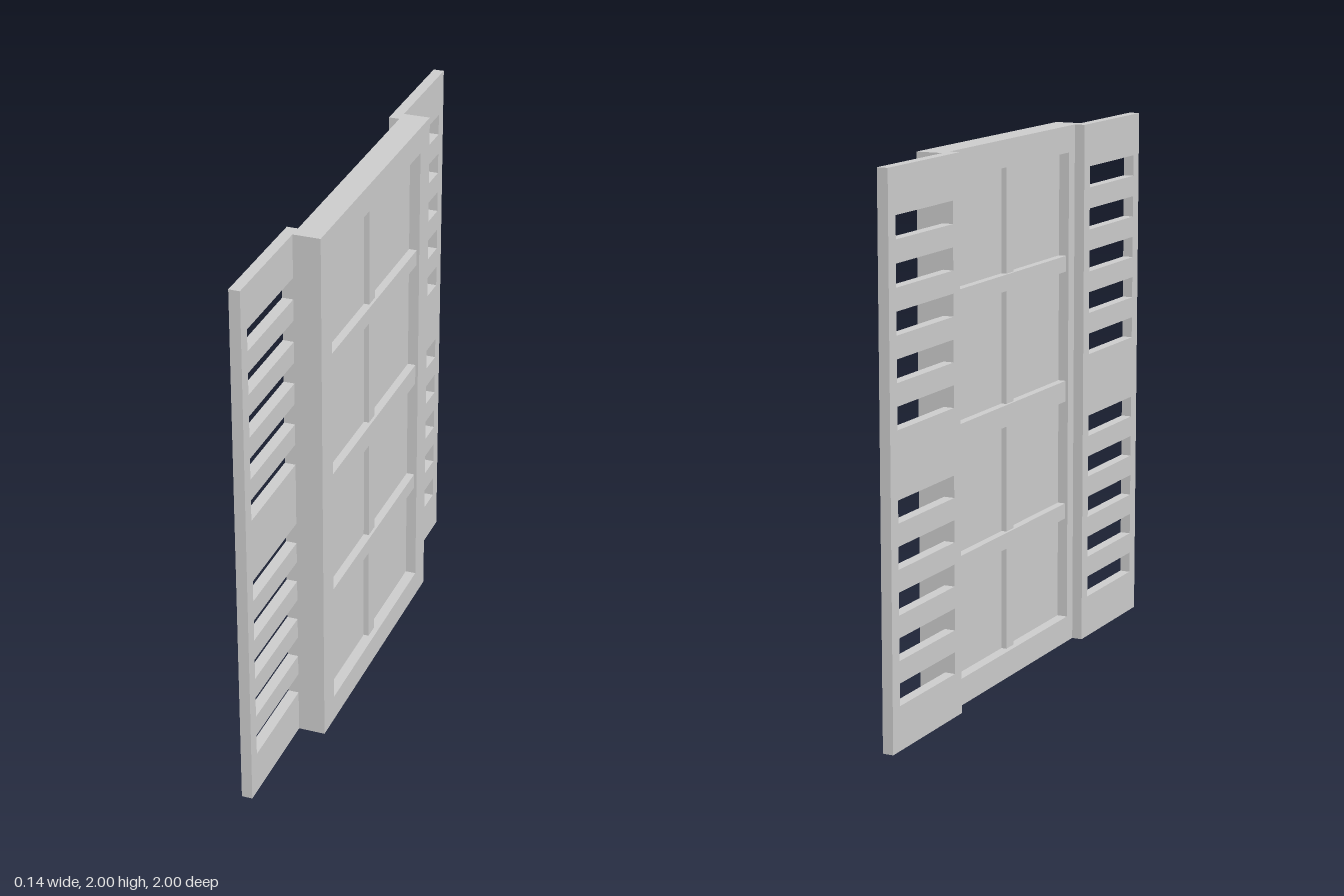
import * as THREE from 'three';

const material = new THREE.MeshStandardMaterial({ color: 0xcccccc, flatShading: true });

// Closed rectangle outline, from (u0, v0) to (u1, v1)
function rect(Type, u0, v0, u1, v1) {
  const p = new Type();
  p.moveTo(u0, v0);
  p.lineTo(u1, v0);
  p.lineTo(u1, v1);
  p.lineTo(u0, v1);
  p.closePath();
  return p;
}

// Upright panel with holes: the shape's u runs along -z, its thickness along +x
function panel(name, shape, x0, depth) {
  const geometry = new THREE.ExtrudeGeometry(shape, { depth, bevelEnabled: false });
  geometry.rotateY(Math.PI / 2);
  const mesh = new THREE.Mesh(geometry, material);
  mesh.name = name;
  mesh.position.x = x0;
  return mesh;
}

// Box centred on the window plane, spanning y0..y1
const WINDOW_X = 0.02;
function bar(name, thickness, y0, y1, width) {
  const mesh = new THREE.Mesh(new THREE.BoxGeometry(thickness, y1 - y0, width), material);
  mesh.name = name;
  mesh.position.set(WINDOW_X, (y0 + y1) / 2, 0);
  return mesh;
}

export function createModel() {
  const model = new THREE.Group();
  model.name = 'shutteredWindow';

  // Outer frame around the opening
  const frame = rect(THREE.Shape, -0.55, 0, 0.55, 2);
  frame.holes.push(rect(THREE.Path, -0.45, 0.1, 0.45, 1.9));
  model.add(panel('frame', frame, -0.03, 0.1));

  // Glass pane
  model.add(bar('glass', 0.02, 0.1, 1.9, 0.9));

  // Horizontal rails, the middle one wider, with upright muntins between them
  const rails = [[0.49, 0.55], [0.95, 1.03], [1.45, 1.51]];
  let bottom = 0.1;
  for (const [y0, y1] of rails) {
    model.add(bar('rail', 0.08, y0, y1, 0.9));
    model.add(bar('muntin', 0.06, bottom, y0, 0.06));
    bottom = y1;
  }
  model.add(bar('muntin', 0.06, bottom, 1.9, 0.06));

  // Slotted shutters on both sides, with a solid band at mid height
  for (const side of [-1, 1]) {
    const c = side * 0.75;
    const shutter = rect(THREE.Shape, c - 0.25, 0, c + 0.25, 2);
    for (let i = 0; i < 11; i++) {
      if (i === 5) continue;
      const y = 0.16 + i * 0.16;
      shutter.holes.push(rect(THREE.Path, c - 0.2, y, c + 0.2, y + 0.08));
    }
    model.add(panel(side < 0 ? 'frontShutter' : 'backShutter', shutter, -0.07, 0.04));
  }
  return model;
}
